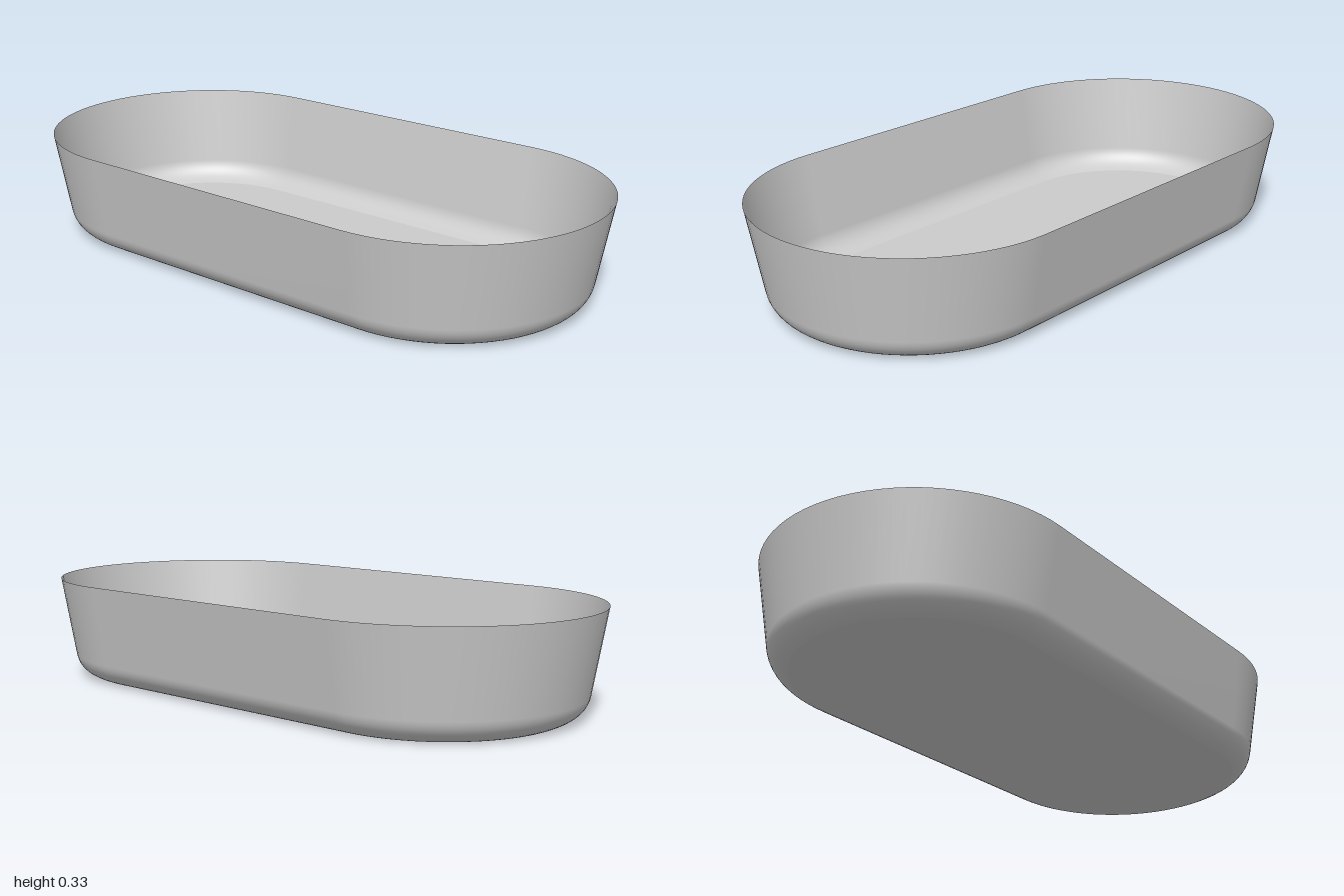
import * as THREE from 'three';

const HALF_STRAIGHT = 0.5; // centres of the rounded ends lie at z = +-0.5
const ARC_STEPS = 40;

// Stadium outline in the ground plane, as [x, z] pairs running around once
function outline(radius) {
  const points = [];
  for (const end of [1, -1]) {
    for (let i = 0; i <= ARC_STEPS; i++) {
      const a = (i / ARC_STEPS) * Math.PI;
      points.push([end * radius * Math.cos(a), end * (HALF_STRAIGHT + radius * Math.sin(a))]);
    }
  }
  return points;
}

export function createModel() {
  const group = new THREE.Group();
  group.name = 'tray';
  const material = new THREE.MeshStandardMaterial({ color: 0xcccccc, side: THREE.DoubleSide });

  // Wall section: rounded foot, then a straight flare to the rim
  const foot = new THREE.QuadraticBezierCurve(
    new THREE.Vector2(0.39, 0), new THREE.Vector2(0.446, 0.02), new THREE.Vector2(0.455, 0.07));
  const profile = [...foot.getPoints(10), new THREE.Vector2(0.5, 0.333)];

  // Wall: one stadium loop per profile point
  const positions = [], indices = [];
  const n = outline(1).length;
  profile.forEach((p, row) => {
    for (const [x, z] of outline(p.x)) positions.push(x, p.y, z);
    if (row === 0) return;
    for (let i = 0; i < n; i++) {
      const j = (i + 1) % n, lower = (row - 1) * n, upper = row * n;
      indices.push(lower + i, upper + i, lower + j, upper + i, upper + j, lower + j);
    }
  });
  const wallGeometry = new THREE.BufferGeometry();
  wallGeometry.setAttribute('position', new THREE.Float32BufferAttribute(positions, 3));
  wallGeometry.setIndex(indices);
  wallGeometry.computeVertexNormals();
  const wall = new THREE.Mesh(wallGeometry, material);
  wall.name = 'wall';
  group.add(wall);

  // Flat floor
  const floorShape = new THREE.Shape(outline(profile[0].x).map(([x, z]) => new THREE.Vector2(x, z)));
  const floor = new THREE.Mesh(new THREE.ShapeGeometry(floorShape).rotateX(-Math.PI / 2), material);
  floor.name = 'floor';
  group.add(floor);

  return group;
}
